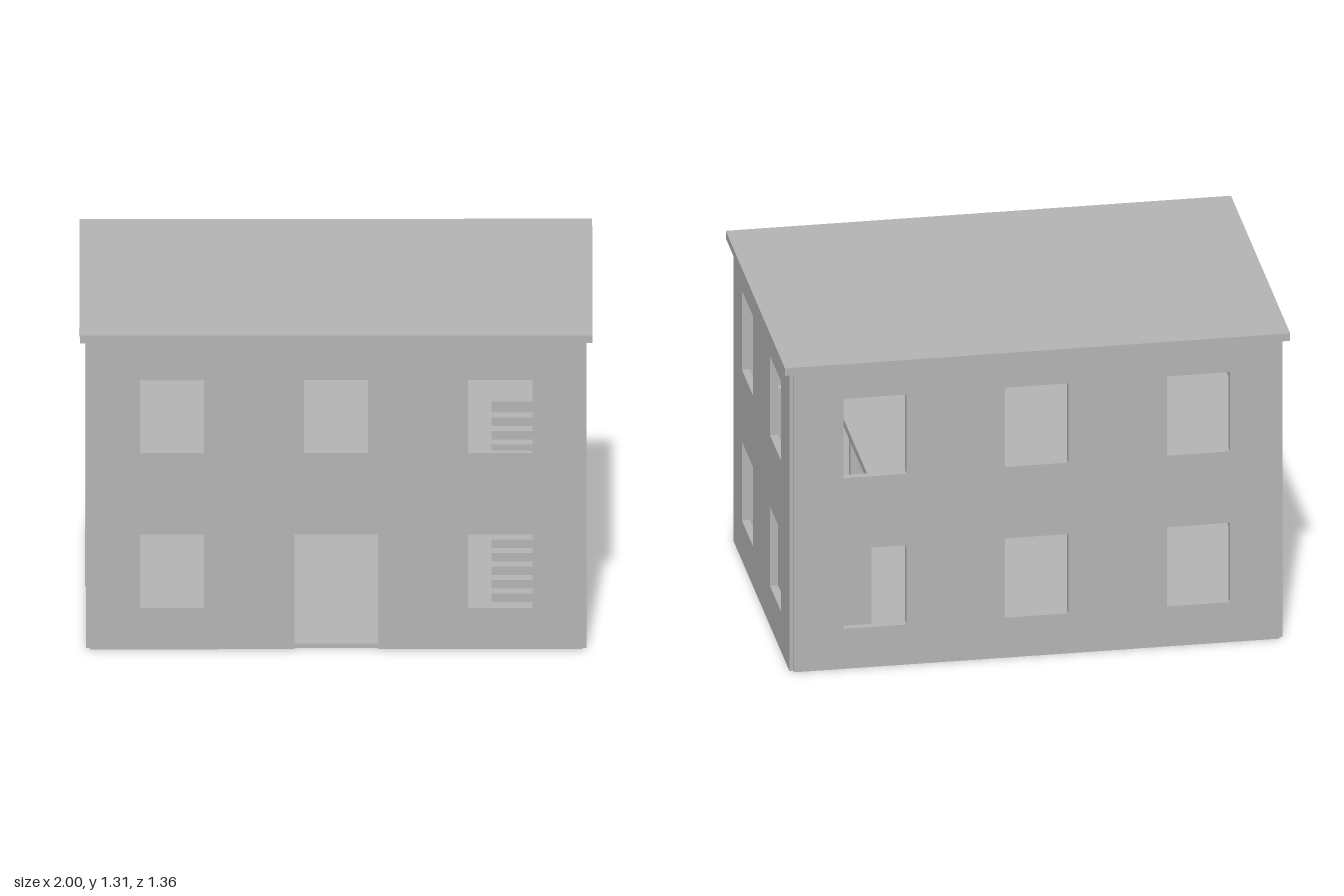
import * as THREE from 'three';

const HALF_X = 0.96, HALF_Z = 0.642; // wall centrelines
const THICK = 0.032;
const WALL_TOP = 1.274;
const WINDOW_W = 0.25, WINDOW_H = 0.338;
const SILLS = [0.17, 0.812];

export function createModel() {
  const model = new THREE.Group();
  model.name = 'house';

  const plaster = new THREE.MeshStandardMaterial({ color: 0xb3b3b3 });
  plaster.name = 'plasterGrey';

  const add = (name, geometry, parent = model) => {
    const mesh = new THREE.Mesh(geometry, plaster);
    mesh.name = name;
    parent.add(mesh);
    return mesh;
  };

  const outline = (points, Type = THREE.Shape) =>
    new Type(points.map(([x, y]) => new THREE.Vector2(x, y)));

  const rect = (x0, x1, y0, y1, Type) =>
    outline([[x0, y0], [x1, y0], [x1, y1], [x0, y1]], Type);

  const extrude = (shape, depth) =>
    new THREE.ExtrudeGeometry(shape, { depth, bevelEnabled: false });

  // Wall with two rows of windows, optionally with a doorway in the middle
  const wallGeometry = (half, centres, hasDoor) => {
    const door = hasDoor ? [[-0.163, 0], [-0.163, 0.604], [0.163, 0.604], [0.163, 0]] : [];
    const shape = outline([[-half, 0], ...door, [half, 0], [half, WALL_TOP], [-half, WALL_TOP]]);
    SILLS.forEach((sill, storey) => {
      for (const c of centres) {
        if (hasDoor && storey === 0 && c === 0) continue;
        shape.holes.push(rect(c - WINDOW_W / 2, c + WINDOW_W / 2, sill, sill + WINDOW_H, THREE.Path));
      }
    });
    return extrude(shape, THICK).translate(0, 0, -THICK / 2);
  };

  // Outer walls, meeting at their centrelines so the corners are notched
  const walls = new THREE.Group();
  walls.name = 'walls';
  model.add(walls);
  const longWindows = [-0.64, 0, 0.64], shortWindows = [-0.322, 0.322];
  add('frontWall', wallGeometry(HALF_X, longWindows, true), walls).position.z = HALF_Z;
  add('backWall', wallGeometry(HALF_X, longWindows, false), walls).position.z = -HALF_Z;
  for (const [name, side] of [['leftWall', 1], ['rightWall', -1]]) {
    const wall = add(name, wallGeometry(HALF_Z, shortWindows, false), walls);
    wall.position.x = side * HALF_X;
    wall.rotation.y = side * Math.PI / 2;
  }

  // Ground slab
  const ground = 0.018;
  add('groundFloor', new THREE.BoxGeometry(HALF_X * 2, ground, HALF_Z * 2)).position.y = ground / 2;

  // Upper floor with a stairwell; the shape is drawn in x and -z
  const stairX0 = 0.606, stairX1 = 0.928, stairStart = 0.588, stairEnd = -0.381;
  const floorShape = rect(-HALF_X, HALF_X, -HALF_Z, HALF_Z);
  floorShape.holes.push(rect(stairX0, 0.944, -stairStart, -stairEnd, THREE.Path));
  const upperFloor = add('upperFloor', extrude(floorShape, THICK));
  upperFloor.rotation.x = -Math.PI / 2;
  upperFloor.position.y = 0.624;

  // Solid staircase: a stepped side profile drawn in -z and y
  const steps = 17, rise = 0.0357;
  const run = (stairStart - stairEnd) / steps;
  const profile = [[-stairEnd, ground]];
  for (let i = steps; i >= 1; i--) {
    const y = i * rise + 0.002;
    profile.push([-stairStart + i * run, y], [-stairStart + (i - 1) * run, y]);
  }
  profile.push([-stairStart, ground]);
  const stairs = add('staircase', extrude(outline(profile), stairX1 - stairX0));
  stairs.rotation.y = Math.PI / 2;
  stairs.position.x = stairX0;

  // Flat overhanging roof
  add('roof', new THREE.BoxGeometry(2, THICK, 1.356)).position.y = WALL_TOP + THICK / 2;

  return model;
}
